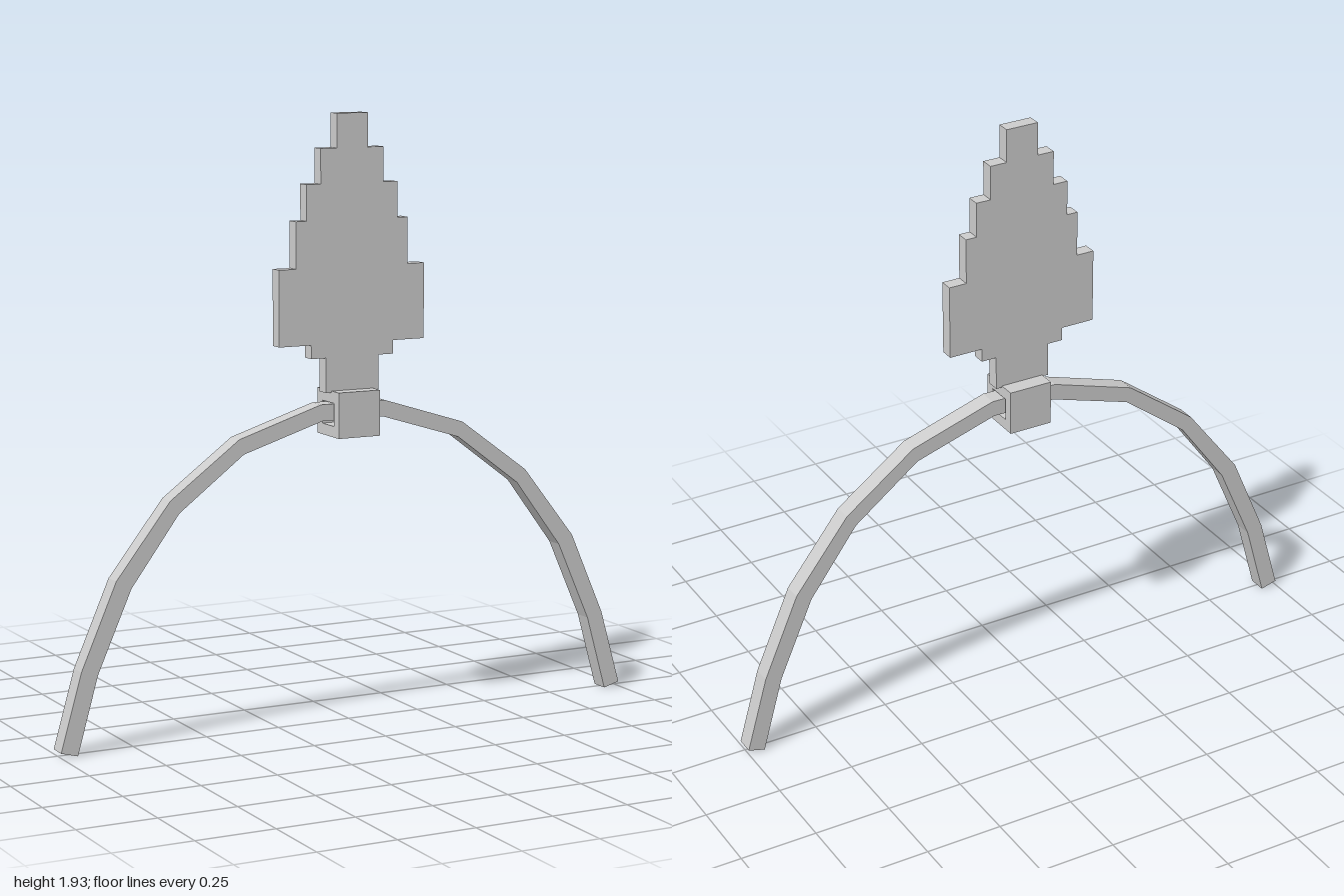
import * as THREE from 'three';

const material = new THREE.MeshStandardMaterial({ color: 0xcccccc, flatShading: true });

// Closed shape from a right-hand outline, mirrored across x = 0
function mirroredShape(right) {
  const left = right.map(([x, y]) => [-x, y]).reverse();
  return new THREE.Shape([...right, ...left].map(([x, y]) => new THREE.Vector2(x, y)));
}

function slab(name, shape, depth, z = 0) {
  const geometry = new THREE.ExtrudeGeometry(shape, { depth, bevelEnabled: false });
  geometry.translate(0, 0, z - depth / 2);
  const mesh = new THREE.Mesh(geometry, material);
  mesh.name = name;
  return mesh;
}

export function createModel() {
  const model = new THREE.Group();
  model.name = 'headband';

  // Faceted arch: outer edge from the crown to the tip, inner edge back up
  const outer = [[0.113, 1.025], [0.395, 0.936], [0.63, 0.763], [0.812, 0.53], [0.93, 0.26], [1, 0.015]];
  const inner = [[0.945, 0], [0.876, 0.245], [0.762, 0.503], [0.6, 0.722], [0.38, 0.888], [0.107, 0.973]];
  model.add(slab('band', mirroredShape([...outer, ...inner]), 0.06));

  // Square clasp with an opening through it for the band
  const frame = new THREE.Shape();
  frame.moveTo(-0.073, 0.92).lineTo(0.073, 0.92).lineTo(0.073, 1.065).lineTo(-0.073, 1.065).closePath();
  const hole = new THREE.Path();
  hole.moveTo(-0.04, 0.955).lineTo(-0.04, 1.028).lineTo(0.04, 1.028).lineTo(0.04, 0.955).closePath();
  frame.holes.push(hole);
  const clasp = slab('clasp', frame, 0.145);
  clasp.rotation.y = Math.PI / 2;
  model.add(clasp);

  // Stepped feather: half width and top height of each tier
  const tiers = [[0.093, 1.17], [0.144, 1.213], [0.255, 1.453], [0.196, 1.6], [0.159, 1.713], [0.11, 1.823], [0.054, 1.93]];
  const edge = [];
  let bottom = 1.06;
  for (const [halfWidth, top] of tiers) {
    edge.push([halfWidth, bottom], [halfWidth, top]);
    bottom = top;
  }
  model.add(slab('feather', mirroredShape(edge), 0.044, 0.003));

  return model;
}
